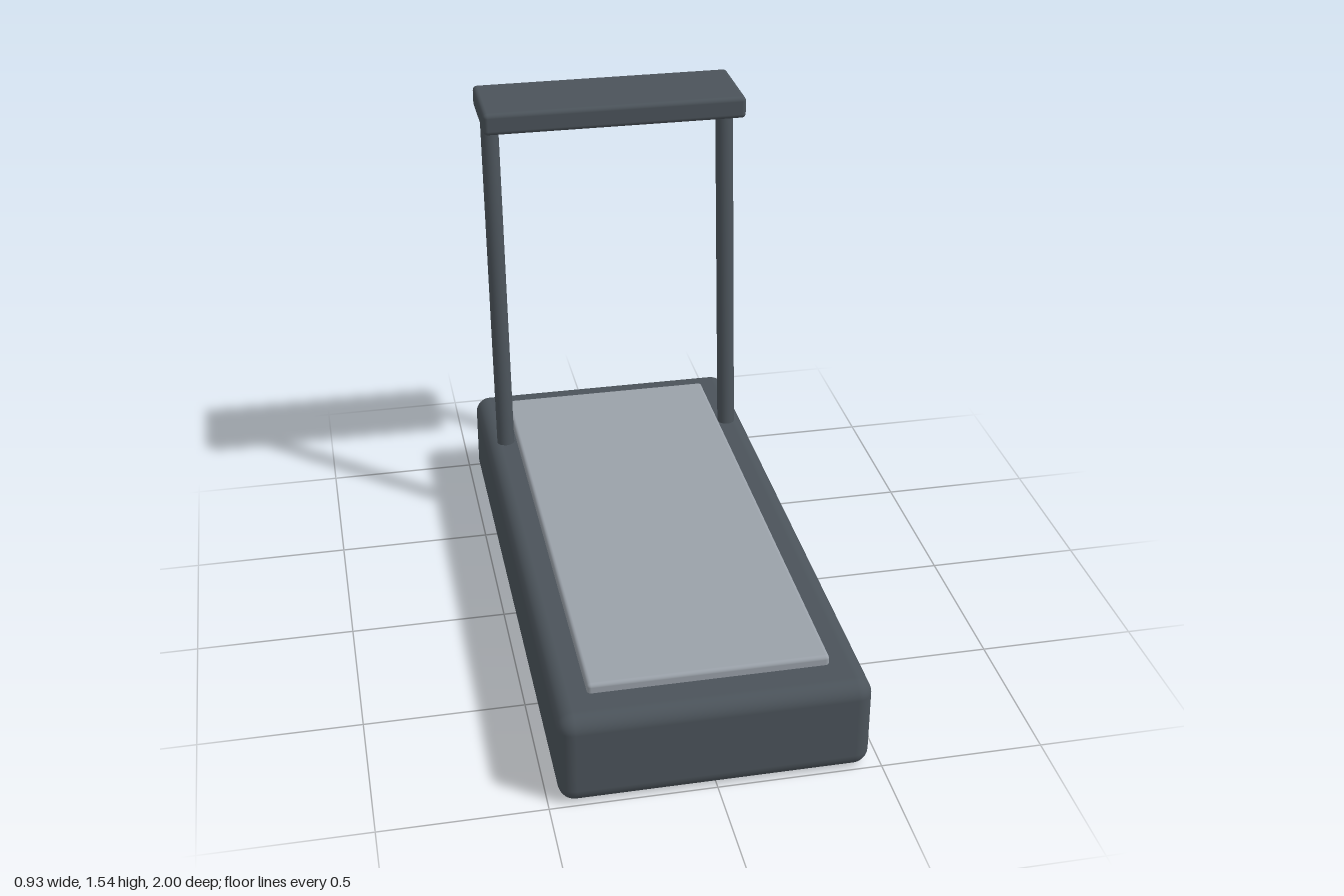
import * as THREE from 'three';
import { RoundedBoxGeometry } from 'three/addons/geometries/RoundedBoxGeometry.js';

export function createModel() {
  const model = new THREE.Group();
  model.name = 'treadmill';

  const frameGrey = new THREE.MeshStandardMaterial({ color: 0x4b535a });
  frameGrey.name = 'dark frame grey';
  const beltGrey = new THREE.MeshStandardMaterial({ color: 0x9aa1a9 });
  beltGrey.name = 'light belt grey';

  // Rounded block given by its size, lower face and z centre
  function block(name, [w, h, d], bottom, z, radius, material) {
    const mesh = new THREE.Mesh(new RoundedBoxGeometry(w, h, d, 4, radius), material);
    mesh.name = name;
    mesh.position.set(0, bottom + h / 2, z);
    model.add(mesh);
  }

  block('deck', [0.934, 0.3, 2], 0, 0, 0.05, frameGrey);
  block('runningBelt', [0.724, 0.06, 1.75], 0.27, 0, 0.012, beltGrey);
  block('console', [0.874, 0.074, 0.3], 1.466, -0.727, 0.015, frameGrey);

  // Uprights lean back from the deck to the console
  const up = new THREE.Vector3(0, 1, 0);
  for (const side of [-1, 1]) {
    const foot = new THREE.Vector3(side * 0.4, 0.27, -0.627);
    const head = new THREE.Vector3(side * 0.4, 1.49, -0.748);
    const axis = head.clone().sub(foot);
    const post = new THREE.Mesh(new THREE.CylinderGeometry(0.03, 0.03, axis.length(), 24), frameGrey);
    post.name = side > 0 ? 'leftUpright' : 'rightUpright';
    post.position.copy(foot).add(head).multiplyScalar(0.5);
    post.quaternion.setFromUnitVectors(up, axis.normalize());
    model.add(post);
  }

  return model;
}
